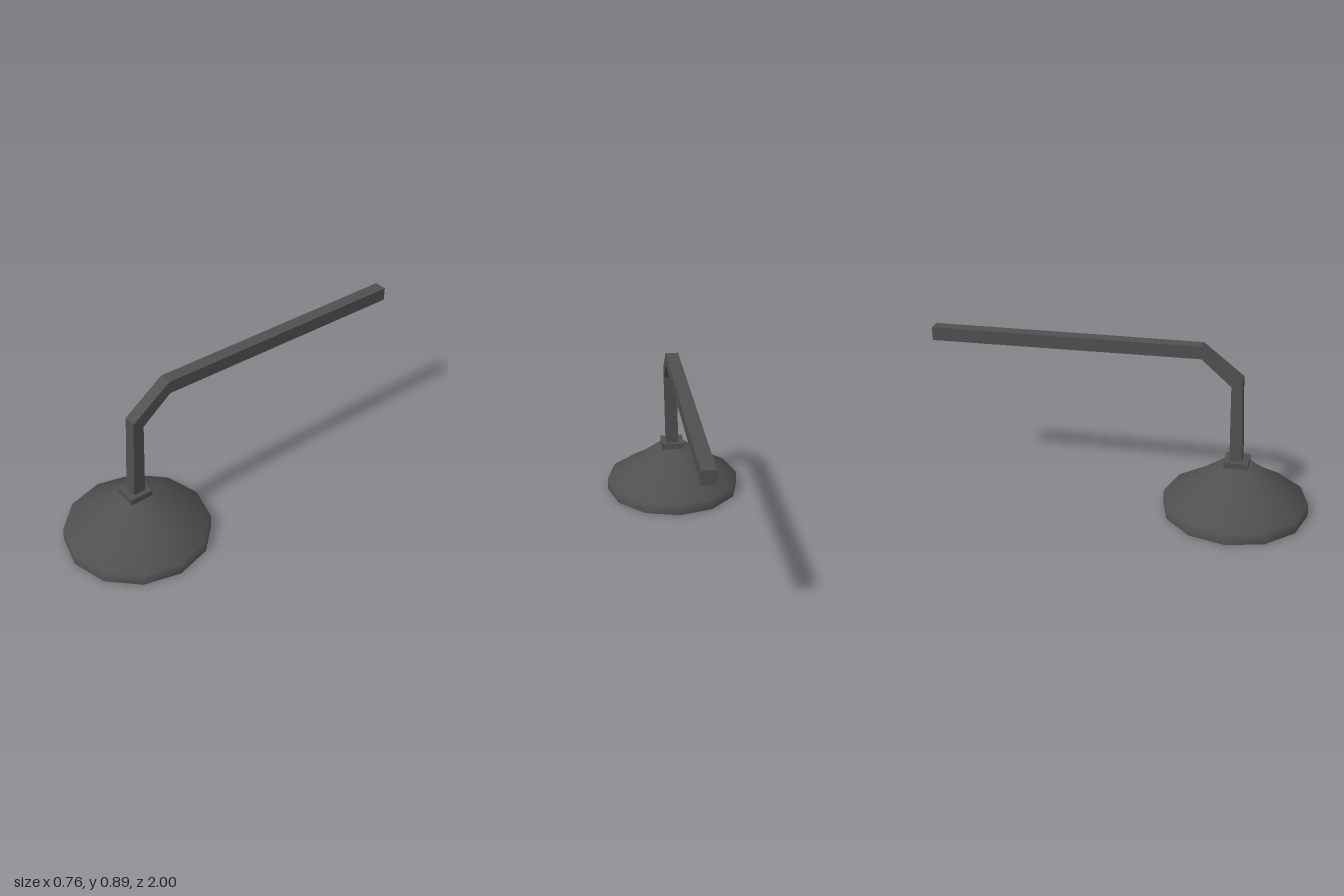
import * as THREE from 'three';

const material = new THREE.MeshStandardMaterial({ color: 0x505050 });
const SIDES = 12;
const DISH_Z = 0.617;

function addMesh(parent, name, geometry) {
  const mesh = new THREE.Mesh(geometry, material);
  mesh.name = name;
  parent.add(mesh);
  return mesh;
}

function lathe(points) {
  return new THREE.LatheGeometry(points.map(([r, y]) => new THREE.Vector2(r, y)), SIDES);
}

// Square bar swept through sections: x range, outer (y, z) and inner (y, z) edges
function barGeometry(sections) {
  const rings = sections.map(({ x, outer, inner }) => [
    [x[0], ...outer], [x[1], ...outer], [x[1], ...inner], [x[0], ...inner],
  ]);
  const positions = [];
  const quad = (a, b, c, d) => positions.push(...a, ...b, ...c, ...a, ...c, ...d);
  for (let i = 0; i < rings.length - 1; i++) {
    const [low, high] = [rings[i], rings[i + 1]];
    for (let j = 0; j < 4; j++) {
      const k = (j + 1) % 4;
      quad(low[j], low[k], high[k], high[j]);
    }
  }
  const first = rings[0], last = rings[rings.length - 1];
  quad(first[3], first[2], first[1], first[0]);
  quad(last[0], last[1], last[2], last[3]);
  const geometry = new THREE.BufferGeometry();
  geometry.setAttribute('position', new THREE.Float32BufferAttribute(positions, 3));
  geometry.computeVertexNormals();
  return geometry;
}

export function createModel() {
  const model = new THREE.Group();
  model.name = 'wallLamp';

  // Twelve-sided shade, hollow below a flat ceiling
  const shade = new THREE.Group();
  shade.name = 'shade';
  shade.position.z = DISH_Z;
  model.add(shade);
  addMesh(shade, 'shadeOuter', lathe([[0.381, 0], [0.379, 0.062], [0.235, 0.15], [0.09, 0.26], [0, 0.26]]));
  addMesh(shade, 'shadeInner', lathe([[0, 0.133], [0.225, 0.133], [0.361, 0.051], [0.361, 0]]));
  addMesh(shade, 'shadeRim', lathe([[0.361, 0], [0.381, 0]]));

  // Square collar between shade and arm
  const collar = addMesh(model, 'collar', new THREE.BoxGeometry(0.125, 0.034, 0.125));
  collar.position.set(0, 0.275, DISH_Z);

  // Bent square arm, from the collar up and back to the wall end
  addMesh(model, 'arm', barGeometry([
    { x: [-0.032, 0.036], outer: [0.285, 0.647], inner: [0.285, 0.581] },
    { x: [-0.021, 0.047], outer: [0.733, 0.627], inner: [0.695, 0.572] },
    { x: [-0.013, 0.055], outer: [0.894, 0.418], inner: [0.828, 0.416] },
    { x: [-0.013, 0.055], outer: [0.884, -1], inner: [0.813, -1] },
  ]));

  return model;
}
